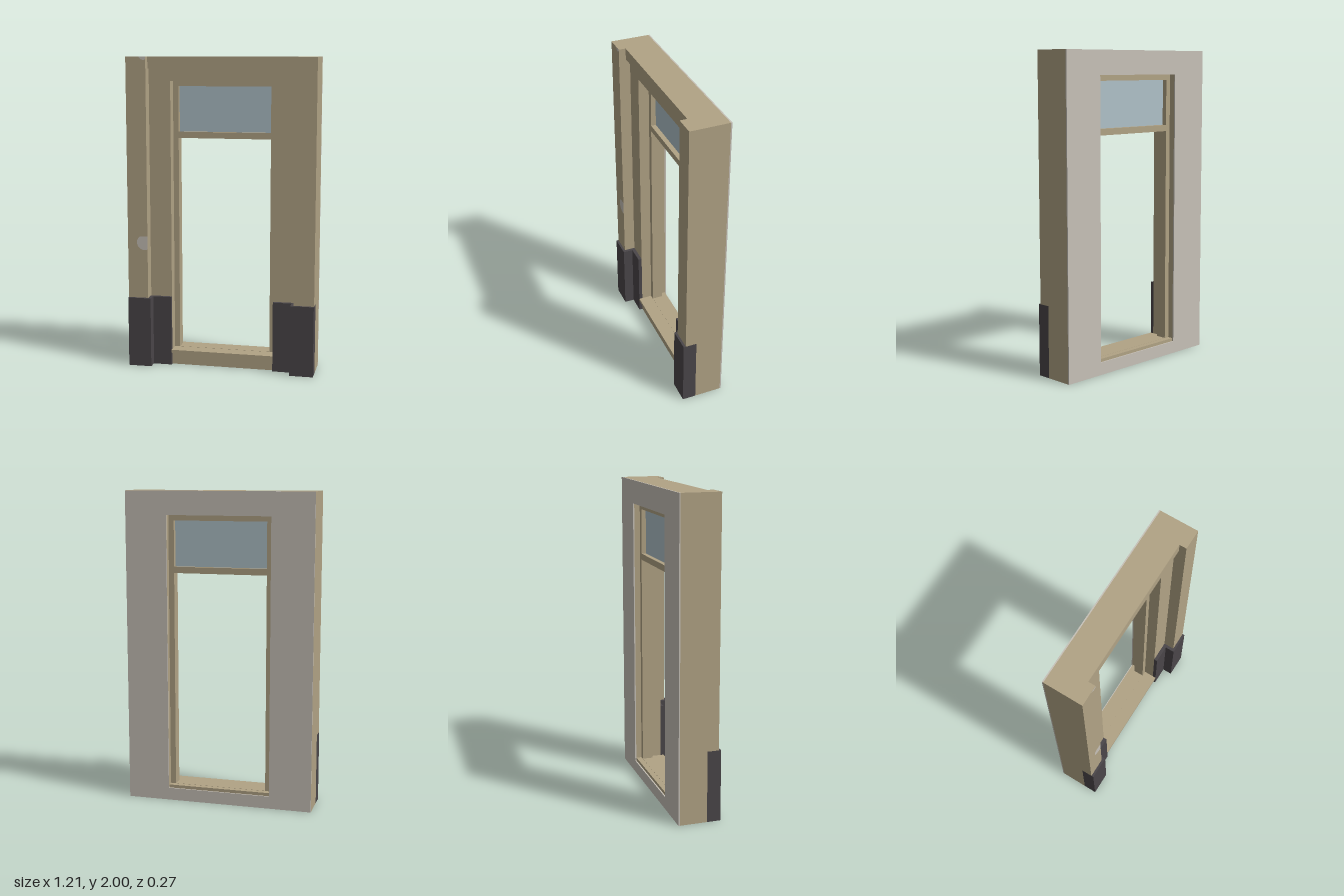
import * as THREE from 'three';

const mat = (name, color) => {
  const m = new THREE.MeshStandardMaterial({ color });
  m.name = name;
  return m;
};

export function createModel() {
  const stone = mat('sandstone', 0xb1a385);
  const dark = mat('darkPlinth', 0x4a4649);
  const plaster = mat('plaster', 0xc7c1b8);
  const pane = mat('paleGlass', 0xafc1c8);

  const group = new THREE.Group();
  group.name = 'doorwayWall';

  const add = (name, geometry, material) => {
    const mesh = new THREE.Mesh(geometry, material);
    mesh.name = name;
    group.add(mesh);
    return mesh;
  };
  // Box given by its limits on each axis
  const box = (name, material, [x0, x1], [y0, y1], [z0, z1]) => {
    const mesh = add(name, new THREE.BoxGeometry(x1 - x0, y1 - y0, z1 - z0), material);
    mesh.position.set((x0 + x1) / 2, (y0 + y1) / 2, (z0 + z1) / 2);
  };
  const rect = (Type, x, y0, y1) => new Type([
    new THREE.Vector2(-x, y0), new THREE.Vector2(x, y0),
    new THREE.Vector2(x, y1), new THREE.Vector2(-x, y1),
  ]);
  // Upright slab pierced by rectangular openings [halfWidth, bottom, top]
  const slab = (name, material, outer, holes, z0, z1) => {
    const shape = rect(THREE.Shape, ...outer);
    holes.forEach((h) => shape.holes.push(rect(THREE.Path, ...h)));
    const g = new THREE.ExtrudeGeometry(shape, { depth: z1 - z0, bevelEnabled: false });
    add(name, g.translate(0, 0, z0), material);
  };

  const W = 0.605, OPEN = 0.335, PLINTH = 0.455;
  const BACK = -0.135, SKIN = -0.127, RECESS = 0.048, FRONT = 0.12;
  const opening = [OPEN, 0.08, 1.85];

  // Wall core and the plaster skin on its back
  slab('wall', stone, [W, 0, 2], [opening], SKIN, RECESS);
  slab('backPlaster', plaster, [W, 0, 2], [opening], BACK, SKIN);

  // Lintel band across the recess
  box('lintel', stone, [-0.475, 0.475], [1.927, 2], [RECESS, 0.075]);

  // Pilasters with their stepped dark plinths
  for (const s of [-1, 1]) {
    const side = s < 0 ? 'right' : 'left';
    const span = (a, b) => (s > 0 ? [a, b] : [-b, -a]);
    box(side + 'Pilaster', stone, span(0.475, W), [PLINTH, 2], [RECESS, FRONT]);
    box(side + 'Plinth', dark, span(0.455, W), [0, PLINTH], [RECESS, 0.135]);
    box(side + 'InnerPlinth', dark, span(OPEN, 0.455), [0, PLINTH], [RECESS, 0.071]);
  }

  // Sill, door frame with transom, and fanlight glass
  box('sill', stone, [-OPEN, OPEN], [0.08, 0.1], [-0.126, 0.07]);
  slab('doorFrame', stone, [OPEN, 0.1, 1.85],
    [[0.3, 0.101, 1.485], [0.3, 1.525, 1.815]], -0.09, -0.02);
  box('fanlightGlass', pane, [-0.3, 0.3], [1.525, 1.815], [-0.06, -0.052]);

  // Worn pale patches on the right pilaster, cut off at its inner edge
  const patch = (name, cx, cy, r, top) => {
    const pts = [];
    for (let i = 0; i < 24; i++) {
      const a = (i / 24) * Math.PI * 2;
      pts.push(new THREE.Vector2(
        Math.min(cx + r * Math.cos(a), -0.475),
        Math.min(cy + r * Math.sin(a), top)));
    }
    const g = new THREE.ShapeGeometry(new THREE.Shape(pts));
    add(name, g.translate(0, 0, FRONT + 0.001), plaster);
  };
  patch('wornPatch', -0.495, 0.82, 0.05, 0.86);
  patch('topWornPatch', -0.49, 2.01, 0.03, 2);

  return group;
}
